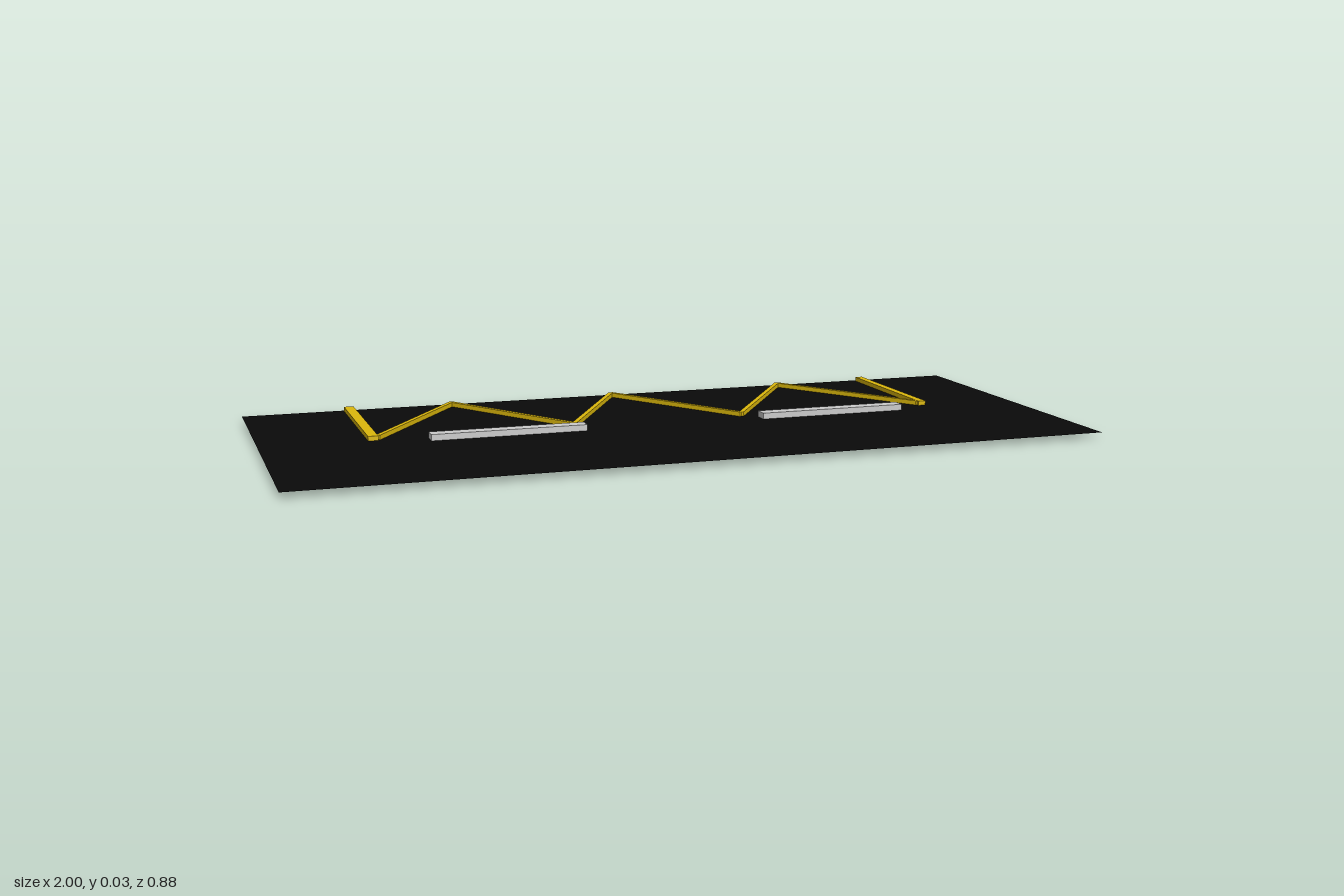
import * as THREE from 'three';

export function createModel() {
  const group = new THREE.Group();
  const yellow = new THREE.MeshStandardMaterial({ color: 0xdcb80c, side: THREE.DoubleSide });
  const grey = new THREE.MeshStandardMaterial({ color: 0xcccccc });
  const black = new THREE.MeshStandardMaterial({ color: 0x0a0a0a, side: THREE.DoubleSide });

  function add(name, geometry, material, x, y, z) {
    const mesh = new THREE.Mesh(geometry, material);
    mesh.name = name;
    mesh.position.set(x, y, z);
    group.add(mesh);
    return mesh;
  }

  // Raised marking strip between two ground points [x, z], open underneath
  function strip(name, a, b, width) {
    const dx = b[0] - a[0], dz = b[1] - a[1];
    const geometry = new THREE.BoxGeometry(Math.hypot(dx, dz), 0.02, width);
    const index = Array.from(geometry.index.array);
    index.splice(18, 6); // drop the bottom face
    geometry.setIndex(index);
    geometry.clearGroups();
    const mesh = add(name, geometry, yellow, (a[0] + b[0]) / 2, 0.017, (a[1] + b[1]) / 2);
    mesh.rotation.y = -Math.atan2(dz, dx);
  }

  // Thin ground sheet
  const sheet = new THREE.PlaneGeometry(2, 0.88).rotateX(-Math.PI / 2);
  add('ground', sheet, black, 0, 0.0155, 0);

  // Side lines of the parking area
  strip('rightSideLine', [-0.726, -0.432], [-0.726, -0.028], 0.025);
  strip('leftSideLine', [0.743, -0.43], [0.743, -0.028], 0.02);

  // Zigzag line
  const xs = [-0.713, -0.456, -0.219, -0.011, 0.229, 0.481, 0.733];
  for (let i = 0; i < xs.length - 1; i++) {
    const z = (k) => (k % 2 ? -0.415 : -0.038);
    strip('zigzagLine' + (i + 1), [xs[i], z(i)], [xs[i + 1], z(i + 1)], 0.012);
  }

  // Wheel stops
  for (const [name, x] of [['rightWheelStop', -0.397], ['leftWheelStop', 0.464]]) {
    add(name, new THREE.BoxGeometry(0.392, 0.031, 0.036), grey, x, 0.0155, 0);
  }
  return group;
}
